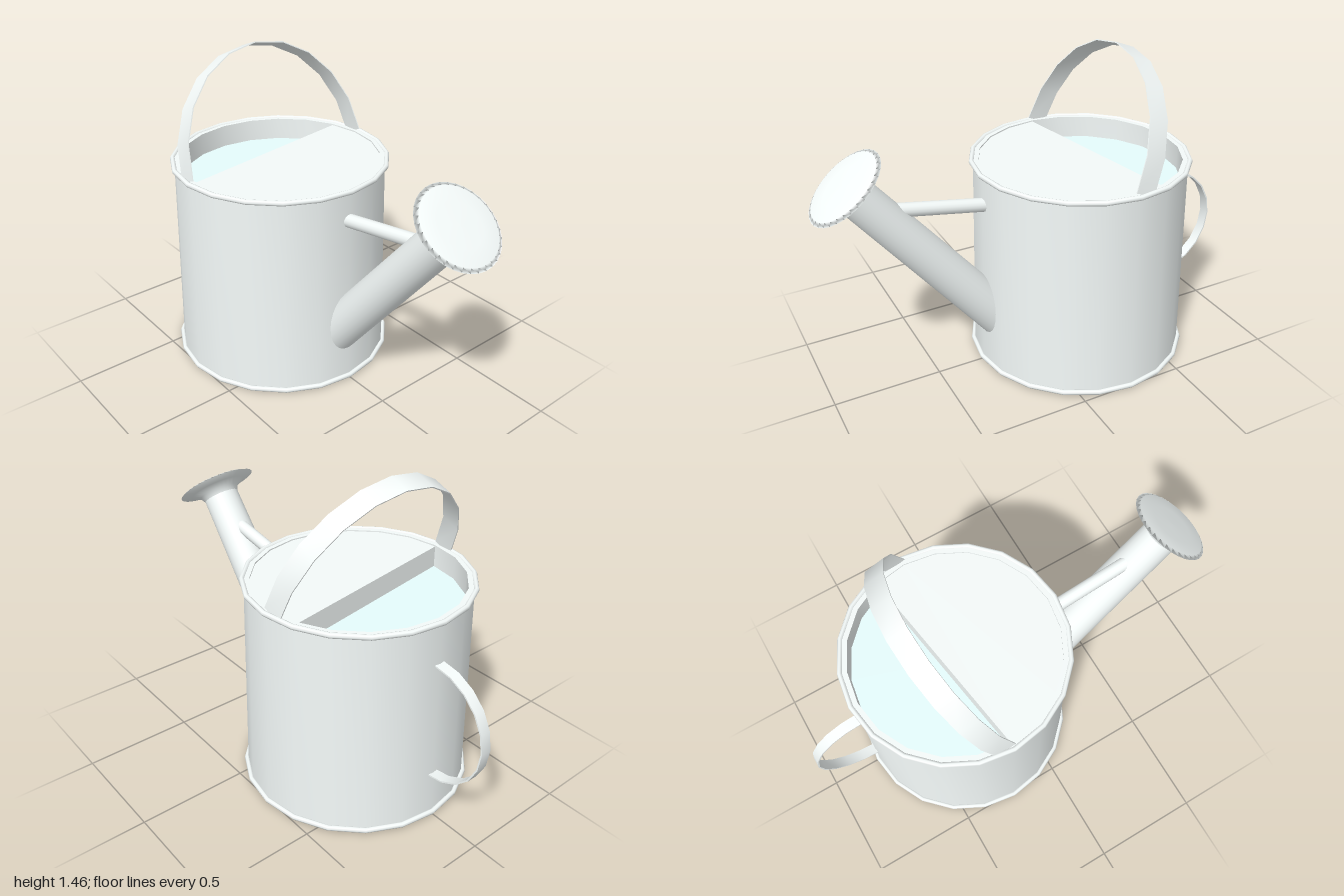
import * as THREE from 'three';
import { toCreasedNormals } from 'three/addons/utils/BufferGeometryUtils.js';

const SIDES = 20;
const CAN_Z = -0.238;
const metal = new THREE.MeshStandardMaterial({ color: 0xf4faf9, side: THREE.DoubleSide });
const waterMaterial = new THREE.MeshStandardMaterial({ color: 0xe6fcfc });

function part(name, geometry, parent, material = metal) {
  const mesh = new THREE.Mesh(geometry, material);
  mesh.name = name;
  parent.add(mesh);
  return mesh;
}

function lathe(points, sides) {
  return new THREE.LatheGeometry(points.map(([r, y]) => new THREE.Vector2(r, y)), sides);
}

// Flat metal strip bent into a half ellipse
function strap(rx, ry, width, thickness) {
  const arc = (inset) => {
    const points = [];
    for (let i = 0; i <= 10; i++) {
      const a = (i / 10) * Math.PI;
      points.push(new THREE.Vector2(Math.cos(a) * (rx - inset), Math.sin(a) * (ry - inset)));
    }
    return points;
  };
  const shape = new THREE.Shape([...arc(0), ...arc(thickness).reverse()]);
  const geometry = new THREE.ExtrudeGeometry(shape, { depth: width, bevelEnabled: false });
  geometry.translate(0, 0, -width / 2);
  return toCreasedNormals(geometry, 0.6);
}

export function createModel() {
  const model = new THREE.Group();
  model.name = 'wateringCan';

  const can = new THREE.Group();
  can.name = 'can';
  can.position.z = CAN_Z;
  model.add(can);

  // Tapered body with a thick wall, open at the top
  const body = lathe([[0, 0.003], [0.506, 0.003], [0.487, 0.97], [0.462, 0.97], [0.462, 0.8]], SIDES);
  part('body', toCreasedNormals(body, 0.6), can);

  // Rolled rims
  for (const [name, radius, y] of [['bottomRim', 0.512, 0.013], ['topRim', 0.494, 0.965]]) {
    const rim = new THREE.TorusGeometry(radius, 0.012, 8, SIDES).rotateX(Math.PI / 2);
    part(name, rim, can).position.y = y;
  }

  // Water surface
  const water = new THREE.CircleGeometry(0.463, SIDES).rotateX(-Math.PI / 2);
  part('water', water, can, waterMaterial).position.y = 0.865;

  // Lid slab over the front, cut along a slanted chord
  const lidOutline = [];
  for (let i = 0; i <= 11; i++) {
    const a = Math.PI + (i / SIDES) * Math.PI * 2;
    lidOutline.push(new THREE.Vector2(Math.cos(a) * 0.462, Math.sin(a) * 0.462));
  }
  const lid = new THREE.ExtrudeGeometry(new THREE.Shape(lidOutline), { depth: 0.107, bevelEnabled: false });
  part('lid', lid.rotateX(-Math.PI / 2), can).position.y = 0.857;

  // Carrying handle leaning back
  const topHandle = part('topHandle', strap(0.481, 0.517, 0.095, 0.005), model);
  topHandle.position.set(0, 0.964, -0.269);
  topHandle.rotation.x = -0.365;

  // Rear handle
  const rear = strap(0.279, 0.278, 0.05, 0.007).rotateX(-Math.PI / 2).rotateZ(Math.PI / 2);
  part('rearHandle', rear, model).position.set(0, 0.495, -0.722);

  // Spout and flared rose share one slanted axis
  const spoutGroup = new THREE.Group();
  spoutGroup.name = 'spoutAssembly';
  spoutGroup.rotation.x = 0.681;
  model.add(spoutGroup);
  part('spout', toCreasedNormals(lathe([[0, 0.225], [0.101, 0.225], [0.086, 1.3]], 24), 0.6), spoutGroup);
  part('rose', lathe([[0.086, 1.285], [0.1, 1.31], [0.137, 1.33], [0.191, 1.344], [0.172, 1.353], [0.1, 1.357], [0, 1.358]], 32), spoutGroup);

  // Brace between body and spout
  const from = new THREE.Vector3(0, 0.815, 0.19);
  const to = new THREE.Vector3(0, 0.897, 0.66);
  const brace = part('brace', new THREE.CylinderGeometry(0.031, 0.031, from.distanceTo(to), 16), model);
  brace.position.lerpVectors(from, to, 0.5);
  brace.quaternion.setFromUnitVectors(new THREE.Vector3(0, 1, 0), to.clone().sub(from).normalize());

  return model;
}
